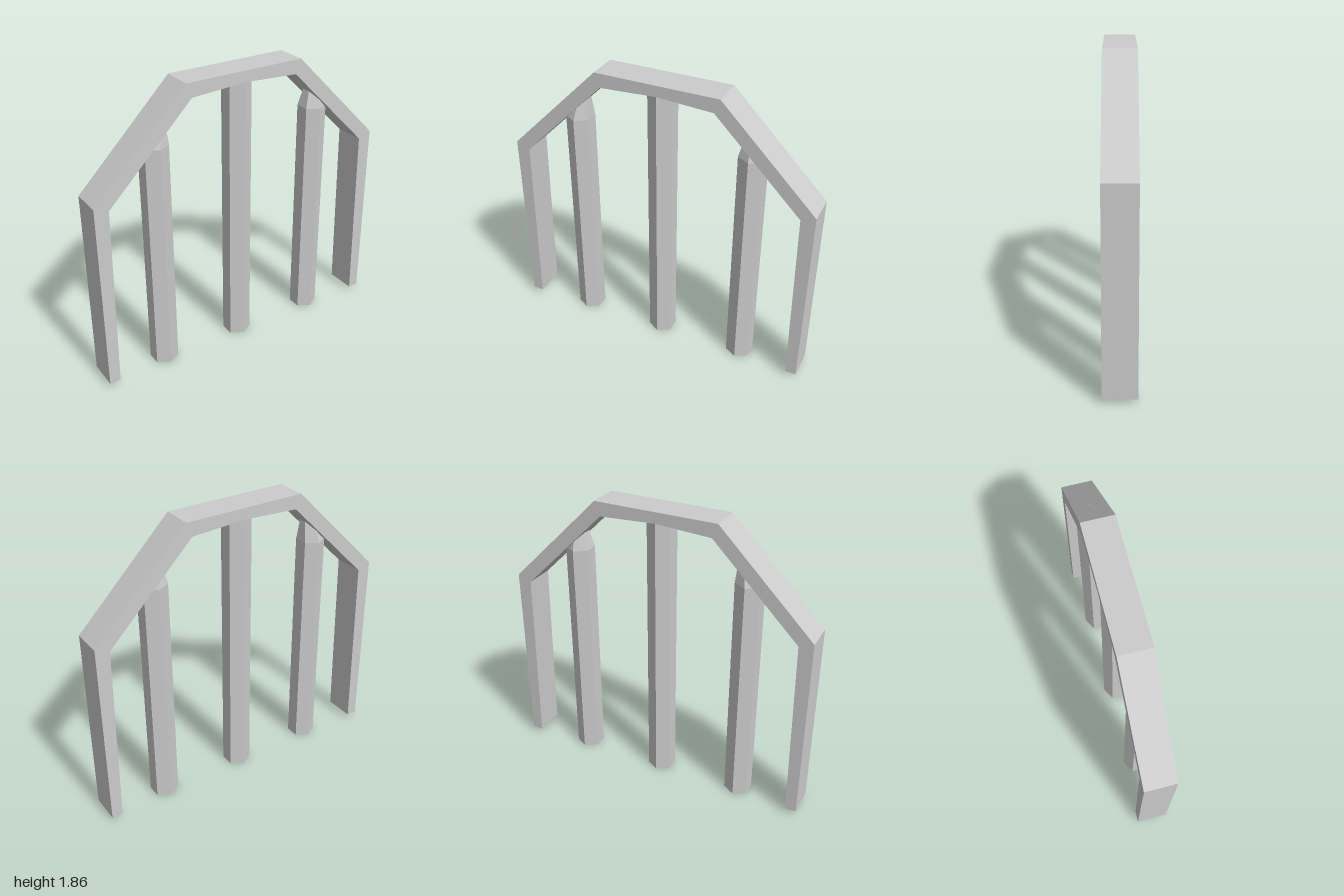
import * as THREE from 'three';

const material = new THREE.MeshStandardMaterial({ color: 0xcccccc, flatShading: true });

// Hexagonal post; the part above the shoulder can narrow and lean towards topX
function post(name, x, shoulder, top, topX = x, topScale = 1) {
  const geometry = new THREE.CylinderGeometry(0.09, 0.09, 2, 6, 2);
  const p = geometry.attributes.position;
  for (let i = 0; i < p.count; i++) {
    const level = Math.round(p.getY(i)) + 1; // 0 foot, 1 shoulder, 2 top
    const s = level === 2 ? topScale : 1;
    p.setXYZ(i,
      p.getX(i) * s + (level === 2 ? topX : x),
      [0, shoulder, top][level],
      p.getZ(i) * s);
  }
  geometry.computeVertexNormals();
  const mesh = new THREE.Mesh(geometry, material);
  mesh.name = name;
  return mesh;
}

// Angular arch, drawn as one outline and extruded
function arch() {
  const outer = [[1, 0.03], [1, 1.255], [0.395, 1.86]];
  const inner = [[0.36, 1.77], [0.91, 1.22], [0.93, 0.03]];
  const mirror = (points) => points.map(([x, y]) => [-x, y]).reverse();
  const outline = [...outer, ...mirror(outer), ...mirror(inner), [0, 1.79], ...inner];
  const shape = new THREE.Shape(outline.map(([x, y]) => new THREE.Vector2(x, y)));
  const geometry = new THREE.ExtrudeGeometry(shape, { depth: 0.2, bevelEnabled: false });
  geometry.translate(0, 0, -0.1);
  const mesh = new THREE.Mesh(geometry, material);
  mesh.name = 'archFrame';
  return mesh;
}

export function createModel() {
  const group = new THREE.Group();
  group.name = 'barredArch';
  group.add(
    arch(),
    post('rightPost', -0.565, 1.5, 1.64, -0.54, 0.55),
    post('centrePost', 0, 1.5, 1.81),
    post('leftPost', 0.573, 1.5, 1.64, 0.573, 0.55),
  );
  return group;
}
